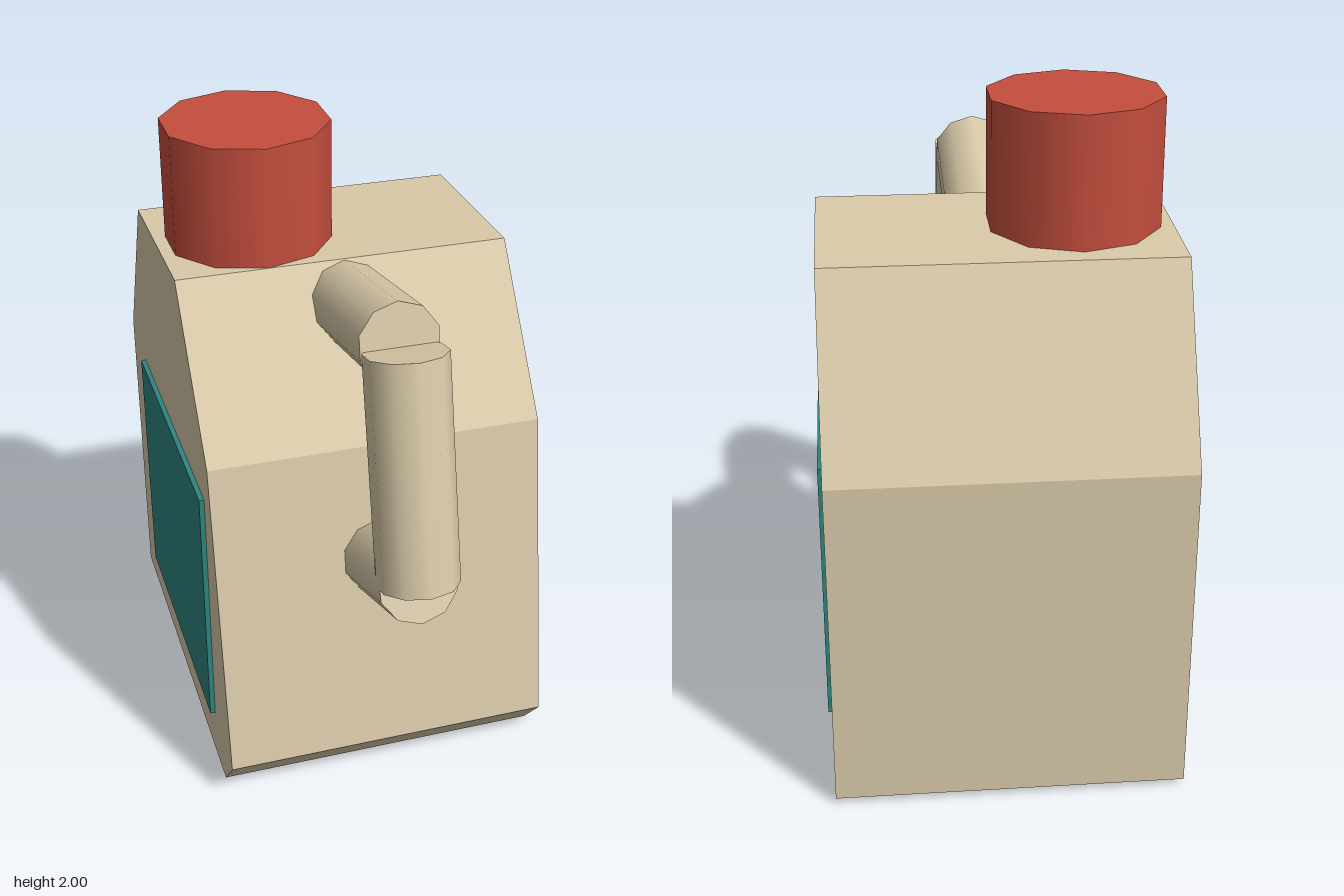
import * as THREE from 'three';

const cream = new THREE.MeshStandardMaterial({ name: 'cream plastic', color: 0xd9caa9 });
const red = new THREE.MeshStandardMaterial({ name: 'red cap', color: 0xc54e3e });
const teal = new THREE.MeshStandardMaterial({ name: 'teal label', color: 0x2f8580 });

const HALF_WIDTH = 0.527;

function addMesh(parent, name, geometry, material) {
  const mesh = new THREE.Mesh(geometry, material);
  mesh.name = name;
  parent.add(mesh);
  return mesh;
}

// Ten-sided tube between two [z, y] points in the middle plane
function addTube(parent, name, [z1, y1], [z2, y2], radius) {
  const length = Math.hypot(z2 - z1, y2 - y1);
  const tube = addMesh(parent, name, new THREE.CylinderGeometry(radius, radius, length, 10), cream);
  tube.position.set(0, (y1 + y2) / 2, (z1 + z2) / 2);
  tube.rotation.x = Math.atan2(z2 - z1, y2 - y1);
}

export function createModel() {
  const model = new THREE.Group();
  model.name = 'jug';

  // Body: side profile as [z, y], extruded across the width
  const profile = [
    [0.405, 0], [0.515, 0.13], [0.345, 1.155], [0, 1.62],
    [-0.59, 1.603], [-0.87, 1.06], [-0.87, 0.02],
  ];
  const shape = new THREE.Shape(profile.map(([z, y]) => new THREE.Vector2(z, y)));
  const bodyGeometry = new THREE.ExtrudeGeometry(shape, { depth: HALF_WIDTH * 2, bevelEnabled: false });
  bodyGeometry.translate(0, 0, -HALF_WIDTH).rotateY(-Math.PI / 2);
  addMesh(model, 'body', bodyGeometry, cream);

  // Off-centre screw cap
  const cap = addMesh(model, 'cap', new THREE.CylinderGeometry(0.264, 0.264, 0.4, 10), red);
  cap.position.set(-0.235, 1.8, -0.282 + 0.017);

  // Handle: three straight tubes running into the front
  const handle = new THREE.Group();
  handle.name = 'handle';
  model.add(handle);
  addTube(handle, 'upperHandle', [0.543, 1.602], [-0.12, 1.465], 0.124);
  addTube(handle, 'grip', [0.595, 1.603], [0.749, 0.921], 0.124);
  addTube(handle, 'lowerHandle', [0.75, 0.92], [0.28, 0.736], 0.124);

  // Raised side labels
  for (const side of [-1, 1]) {
    const label = addMesh(model, side > 0 ? 'leftLabel' : 'rightLabel',
      new THREE.BoxGeometry(0.016, 0.838, 0.93), teal);
    label.position.set(side * (HALF_WIDTH + 0.008), 0.594, -0.185);
  }

  return model;
}
